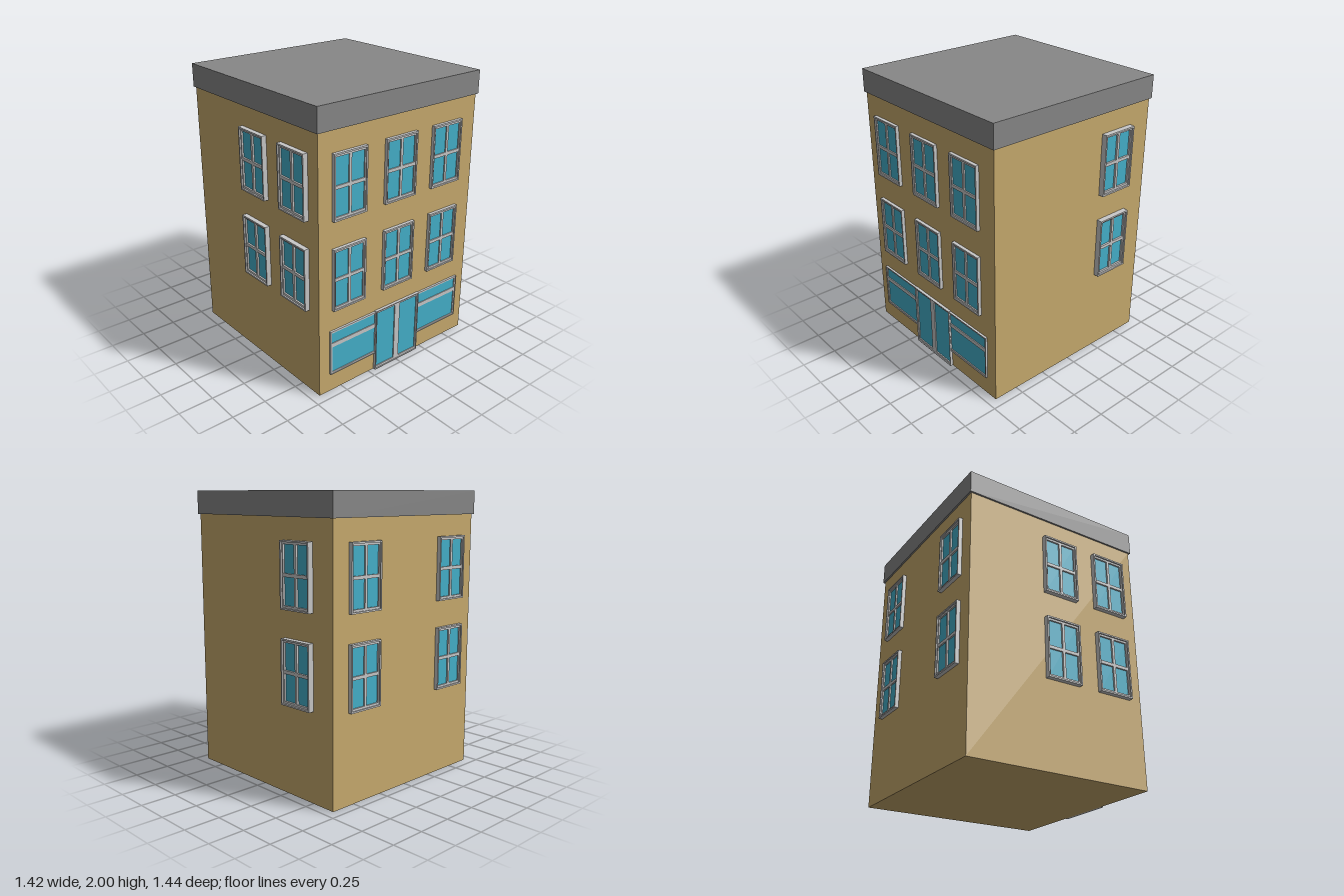
import * as THREE from 'three';

const wallMat = new THREE.MeshStandardMaterial({ name: 'tan wall', color: 0xc8ab6e });
const roofMat = new THREE.MeshStandardMaterial({ name: 'grey roof', color: 0x888888 });
const frameMat = new THREE.MeshStandardMaterial({ name: 'light grey frame', color: 0xc8c8c8 });
const glassMat = new THREE.MeshStandardMaterial({ name: 'blue glass', color: 0x45b1cb });

const HALF = 0.684; // half width of the walls

function addMesh(parent, name, geometry, material, x = 0, y = 0, z = 0) {
  const mesh = new THREE.Mesh(geometry, material);
  mesh.name = name;
  mesh.position.set(x, y, z);
  parent.add(mesh);
}

// Flat panel with rectangular openings, each [x0, y0, x1, y1]
function panel(outer, openings, depth) {
  const rect = (Type, [x0, y0, x1, y1]) => new Type([
    new THREE.Vector2(x0, y0), new THREE.Vector2(x1, y0),
    new THREE.Vector2(x1, y1), new THREE.Vector2(x0, y1)]);
  const shape = rect(THREE.Shape, outer);
  shape.holes = openings.map((o) => rect(THREE.Path, o));
  return new THREE.ExtrudeGeometry(shape, { depth, bevelEnabled: false });
}

// Rim, recessed sash and glass, facing +z with the wall at z = 0
function glazing(name, outer, rim, panes, depth) {
  const group = new THREE.Group();
  group.name = name;
  const [x0, y0, x1, y1] = outer;
  const inner = [x0 + rim, y0 + rim, x1 - rim, y1 - rim];
  addMesh(group, 'rim', panel(outer, [inner], depth), frameMat);
  addMesh(group, 'sash', panel(inner, panes, depth * 0.7), frameMat);
  const glass = new THREE.PlaneGeometry(inner[2] - inner[0], inner[3] - inner[1]);
  addMesh(group, 'glass', glass, glassMat, (x0 + x1) / 2, (y0 + y1) / 2, depth * 0.35);
  return group;
}

// Four-pane window centred on its origin
function makeWindow(depth) {
  const panes = [];
  for (const x of [-0.115, 0.01]) {
    for (const y of [-0.195, 0.012]) panes.push([x, y, x + 0.105, y + 0.184]);
  }
  return glazing('window', [-0.135, -0.221, 0.135, 0.221], 0.011, panes, depth);
}

export function createModel() {
  const model = new THREE.Group();
  model.name = 'building';

  addMesh(model, 'walls', new THREE.BoxGeometry(2 * HALF, 1.84, 2 * HALF), wallMat, 0, 0.92, 0);
  addMesh(model, 'roof', new THREE.BoxGeometry(1.393, 0.164, 1.393), roofMat, 0, 1.918, 0);

  // Each facade is turned to its side; columns run along its local x
  const facades = [
    { name: 'frontFacade', angle: 0, columns: [0.026, 0.452], depth: 0.035 },
    { name: 'rightFacade', angle: Math.PI / 2, columns: [-0.443, -0.012, 0.408], depth: 0.024 },
    { name: 'backFacade', angle: Math.PI, columns: [0.37], depth: 0.04 },
    { name: 'leftFacade', angle: -Math.PI / 2, columns: [-0.415, 0.44], depth: 0.028 },
  ];
  for (const { name, angle, columns, depth } of facades) {
    const facade = new THREE.Group();
    facade.name = name;
    facade.rotation.y = angle;
    model.add(facade);
    for (const x of columns) {
      for (const y of [0.839, 1.47]) {
        const win = makeWindow(depth);
        win.position.set(x, y, HALF);
        facade.add(win);
      }
    }
    if (name !== 'rightFacade') continue;

    // Ground floor shop windows and double door
    const shop = new THREE.Group();
    shop.name = 'shopfront';
    shop.position.z = HALF;
    facade.add(shop);
    for (const x of [-0.6, 0.203]) {
      const shift = x < 0 ? 0.015 : 0.003;
      const [a, b] = [x + shift, x + shift + 0.379];
      shop.add(glazing('shopWindow', [x, 0.138, x + 0.397, 0.468], 0.002,
        [[a, 0.152, b, 0.345], [a, 0.375, b, 0.452]], 0.016));
    }
    shop.add(glazing('doubleDoor', [-0.203, 0, 0.203, 0.472], 0.006,
      [[-0.188, 0.022, -0.023, 0.452], [0.023, 0.022, 0.188, 0.452]], 0.021));
  }
  return model;
}
